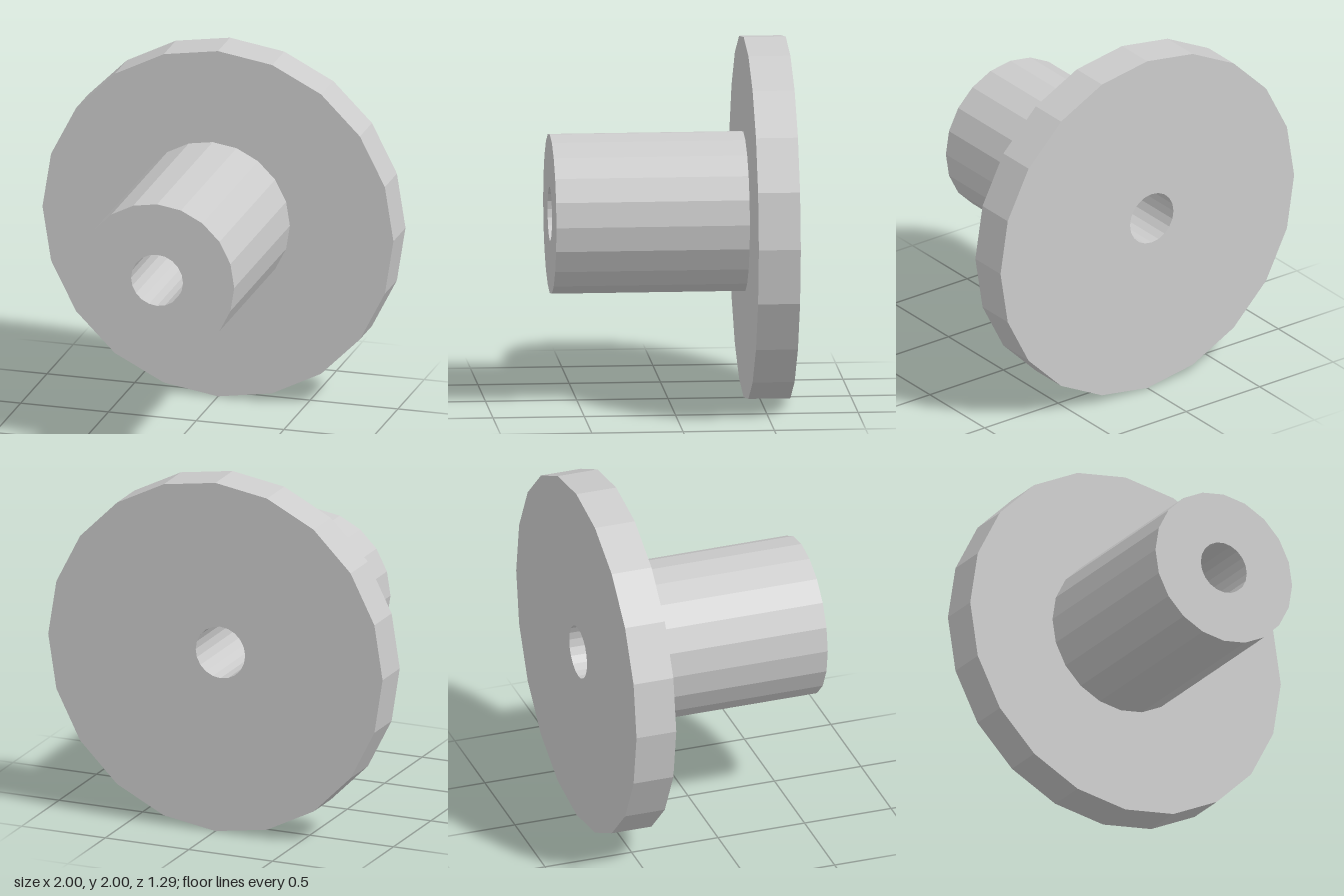
import * as THREE from 'three';

const SIDES = 20;
const AXIS = { x: -0.03, y: 1.03 }; // hub and bore sit slightly off the disc centre

// Corners of a regular polygon, counter-clockwise from +x
function ring(cx, cy, r) {
  return Array.from({ length: SIDES }, (_, i) => {
    const a = (i / SIDES) * Math.PI * 2;
    return new THREE.Vector2(cx + r * Math.cos(a), cy + r * Math.sin(a));
  });
}

// Faceted round plate running from z0 to z1, pierced by the bore
function boredCylinder(name, cx, cy, r, z0, z1, material) {
  const shape = new THREE.Shape(ring(cx, cy, r));
  shape.holes.push(new THREE.Path(ring(AXIS.x, AXIS.y, 0.148).reverse()));
  const geometry = new THREE.ExtrudeGeometry(shape, { depth: z1 - z0, bevelEnabled: false });
  geometry.translate(0, 0, z0);
  const mesh = new THREE.Mesh(geometry, material);
  mesh.name = name;
  return mesh;
}

export function createModel() {
  const model = new THREE.Group();
  model.name = 'flangedBushing';
  const grey = new THREE.MeshStandardMaterial({ color: 0xcccccc, flatShading: true });

  // Wide flange at the back, hub projecting to the front
  model.add(boredCylinder('flange', 0, 1, 1, -0.645, -0.415, grey));
  model.add(boredCylinder('hub', AXIS.x, AXIS.y, 0.44, -0.415, 0.645, grey));
  return model;
}
